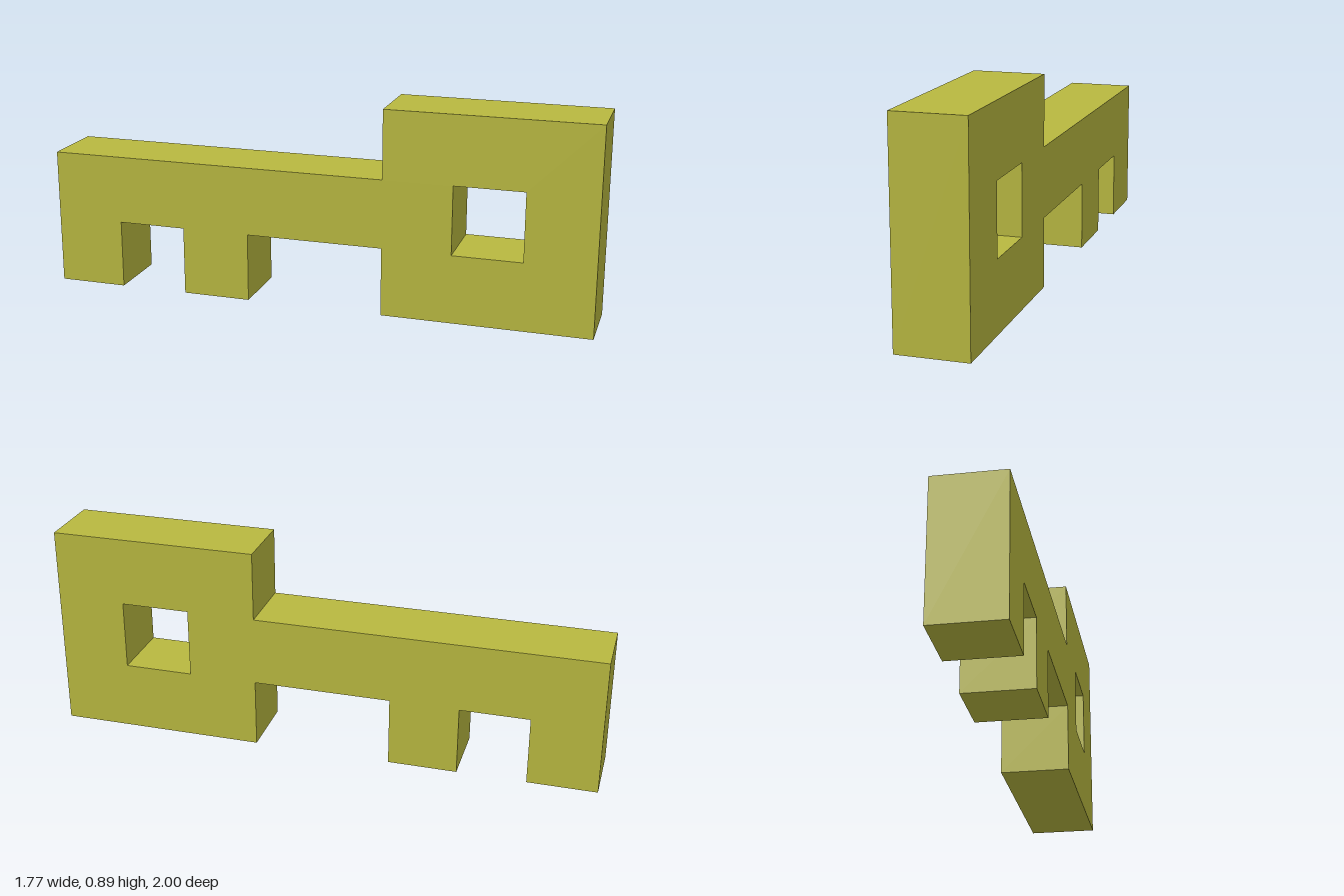
import * as THREE from 'three';

const U = 0.297; // one grid unit of the key: its thickness and tooth width

export function createModel() {
  const group = new THREE.Group();
  const material = new THREE.MeshStandardMaterial({ color: 0xb8b840, flatShading: true });
  const points = (list) => list.map(([x, y]) => new THREE.Vector2((x - 4) * U, y * U));

  // Outline: two teeth, shaft, then the taller square bow
  const outline = new THREE.Shape(points([
    [0, 0], [1, 0], [1, 1], [2, 1], [2, 0], [3, 0], [3, 1],
    [5, 1], [5, 0], [8, 0], [8, 3], [5, 3], [5, 2], [0, 2],
  ]));

  // Square hole through the bow
  outline.holes.push(new THREE.Path(points([[6, 1], [6, 2], [7, 2], [7, 1]])));

  const geometry = new THREE.ExtrudeGeometry(outline, { depth: U, bevelEnabled: false });
  geometry.translate(0, 0, -U / 2);

  const key = new THREE.Mesh(geometry, material);
  key.name = 'key';
  key.rotation.y = -0.864; // stands diagonally, bow toward front left
  group.add(key);
  return group;
}
